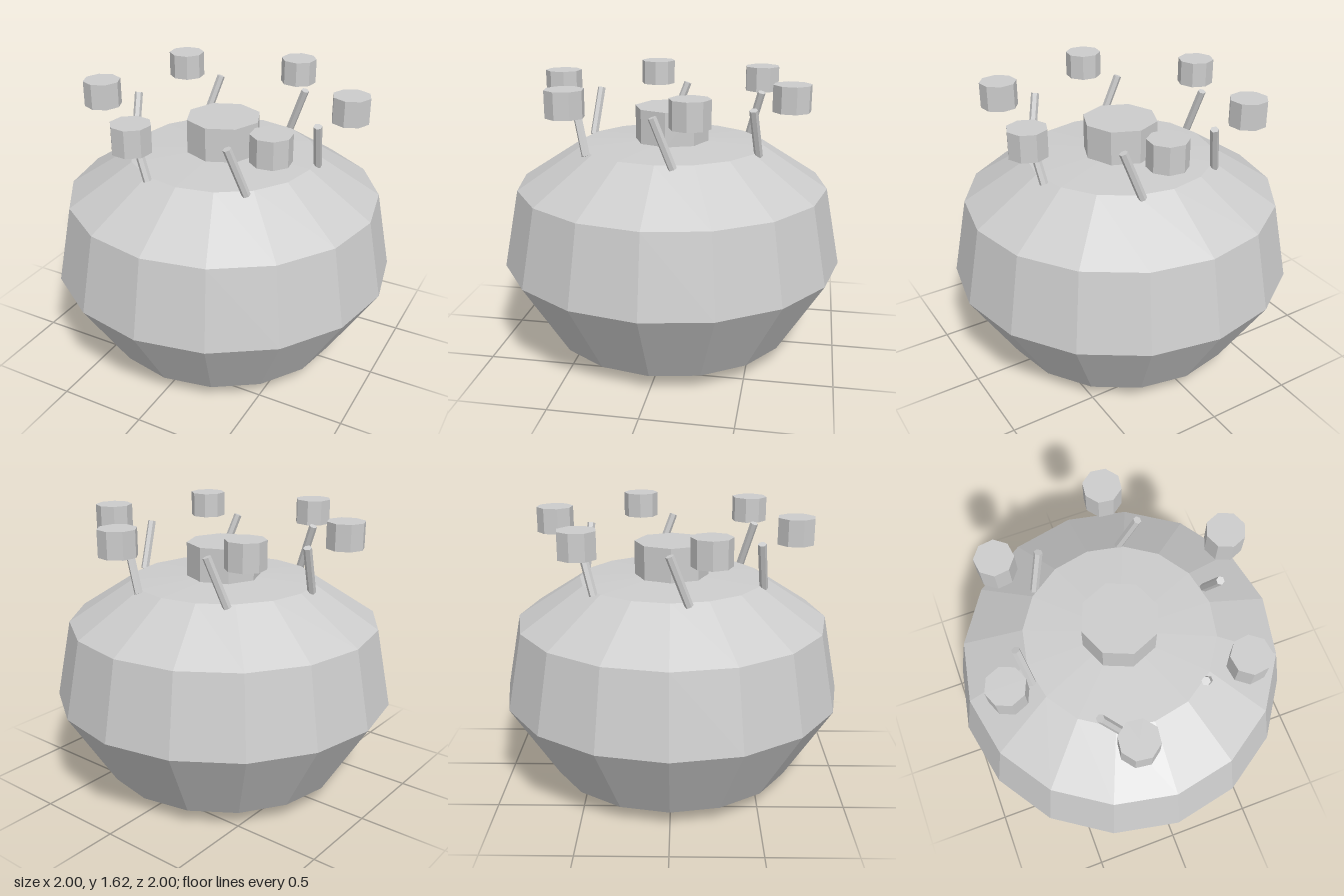
import * as THREE from 'three';

export function createModel() {
  const model = new THREE.Group();
  model.name = 'roundPod';

  const grey = new THREE.MeshStandardMaterial({ color: 0xcccccc });
  grey.name = 'grey';
  grey.flatShading = true;

  const add = (parent, name, geometry, x = 0, y = 0, z = 0) => {
    const mesh = new THREE.Mesh(geometry, grey);
    mesh.name = name;
    mesh.position.set(x, y, z);
    parent.add(mesh);
    return mesh;
  };

  // Sixteen-sided body with a shallow point below and a low cone on top
  const profile = [[0, 0], [0.725, 0.095], [1, 0.548], [0.91, 1.0], [0.54, 1.24], [0, 1.27]]
    .map(([r, y]) => new THREE.Vector2(r, y));
  add(model, 'body', new THREE.LatheGeometry(profile, 16));

  // Octagonal neck
  add(model, 'neck', new THREE.CylinderGeometry(0.216, 0.216, 0.2, 8), 0, 1.355, 0);

  // Ring of six leaning rods, each with a floating drum further out
  const drum = new THREE.CylinderGeometry(0.108, 0.108, 0.148, 8);
  const foot = new THREE.Vector3(0.545, 1.225, -0.1);
  const tip = new THREE.Vector3(0.572, 1.5, 0.003);
  const axis = tip.clone().sub(foot);
  const rod = new THREE.CylinderGeometry(0.024, 0.024, axis.length(), 6);
  const middle = foot.clone().add(tip).multiplyScalar(0.5);

  for (let i = 0; i < 6; i++) {
    const arm = new THREE.Group();
    arm.name = 'arm' + (i + 1);
    arm.rotation.y = (i * Math.PI) / 3;
    add(arm, 'drum', drum, 0.678, 1.55, -0.21);
    const stick = add(arm, 'rod', rod, middle.x, middle.y, middle.z);
    stick.quaternion.setFromUnitVectors(new THREE.Vector3(0, 1, 0), axis.clone().normalize());
    model.add(arm);
  }
  return model;
}
